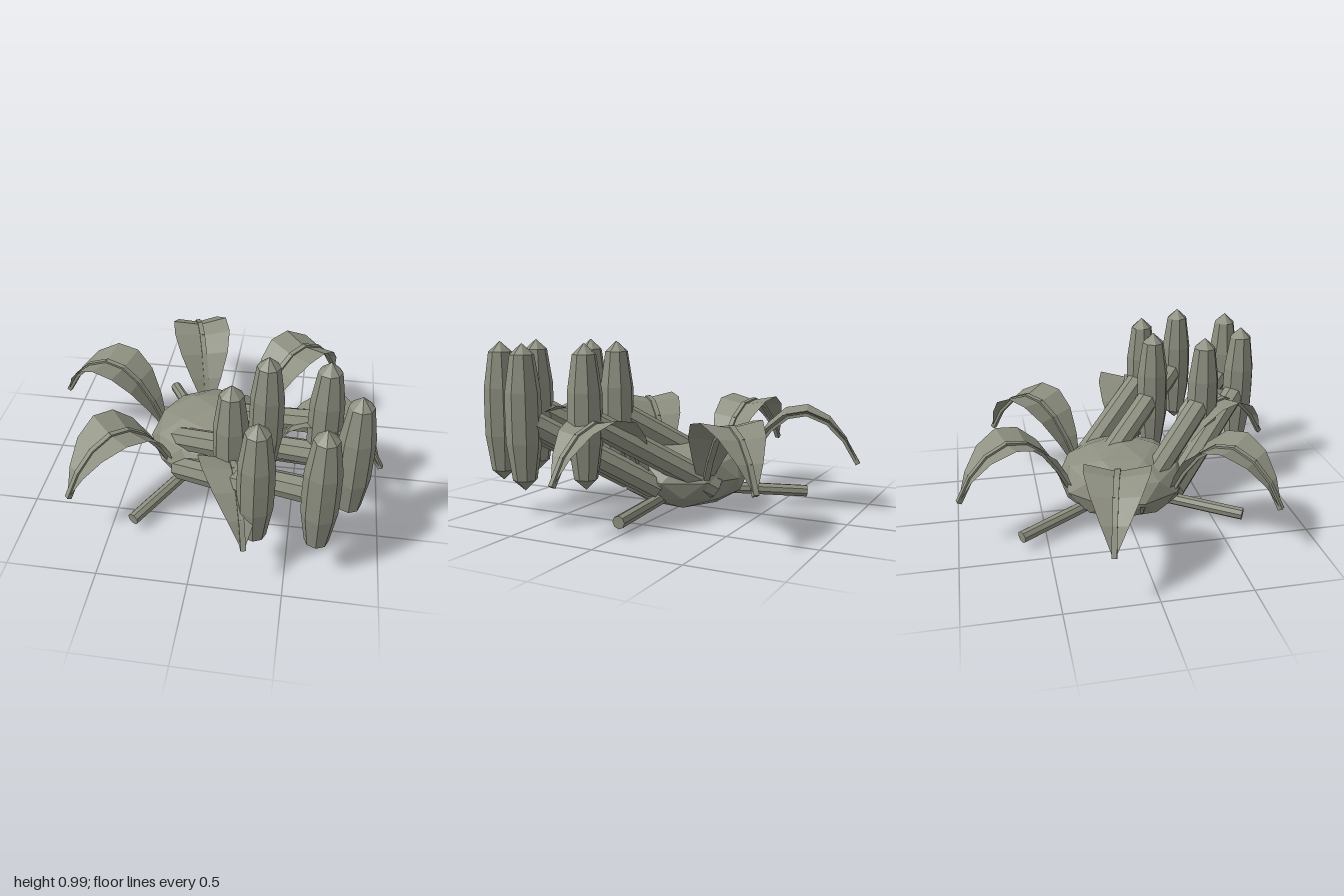
import * as THREE from 'three';

const V = (x, y, z) => new THREE.Vector3(x, y, z);
const UP = V(0, 1, 0);

export function createModel() {
  const model = new THREE.Group();
  const stone = new THREE.MeshStandardMaterial({ color: 0x8d8f80, flatShading: true, side: THREE.DoubleSide });
  stone.name = 'mossyGrey';

  const add = (parent, name, geometry) => {
    const mesh = new THREE.Mesh(geometry, stone);
    mesh.name = name;
    parent.add(mesh);
    return mesh;
  };

  // Straight eight-sided rod between two points
  const rod = (parent, name, a, b, radius) => {
    const dir = b.clone().sub(a);
    const mesh = add(parent, name, new THREE.CylinderGeometry(radius, radius, dir.length(), 8));
    mesh.position.copy(a).add(b).multiplyScalar(0.5);
    mesh.quaternion.setFromUnitVectors(UP, dir.normalize());
  };

  // Flattened faceted bulb, one vertex pointing up
  const bulb = new THREE.IcosahedronGeometry(1, 1);
  bulb.rotateZ(-Math.atan(2 / (1 + Math.sqrt(5))));
  bulb.rotateY(-Math.PI / 18);
  bulb.scale(0.39, 0.21, 0.39);
  bulb.translate(0, 0.21, 0);
  add(model, 'bulb', bulb);

  // Three roots spread on the ground
  for (let i = 0; i < 3; i++) {
    const a = (i * Math.PI * 2) / 3;
    rod(model, 'root', V(0, 0.12, 0), V(0.747 * Math.cos(a), 0.073, 0.747 * Math.sin(a)), 0.036);
  }

  // Ring of six leaning stems, each with an upright pod
  const podProfile = [[0, 0.2], [0.065, 0.26], [0.095, 0.46], [0.097, 0.595], [0.095, 0.73], [0.065, 0.93], [0, 0.99]]
    .map(([r, y]) => new THREE.Vector2(r, y));
  const podGeometry = new THREE.LatheGeometry(podProfile, 8);
  for (let i = 0; i < 6; i++) {
    const a = (i * Math.PI) / 3;
    const x = 0.325 * Math.cos(a), z = 0.325 * Math.sin(a);
    rod(model, 'stem', V(x, 0.17, z), V(x + 0.49, 0.59, z + 0.54), 0.07);
    add(model, 'pod', podGeometry).position.set(x + 0.49, 0, z + 0.54);
  }

  // Leaf stations: distance out, height, half width
  const stations = [
    [0.35, 0.2, 0.035], [0.42, 0.34, 0.095], [0.51, 0.47, 0.15], [0.61, 0.55, 0.178],
    [0.72, 0.57, 0.172], [0.84, 0.52, 0.13], [0.94, 0.42, 0.07], [1.015, 0.29, 0.008],
  ];
  const centre = stations.map(([r, y]) => V(r, y, 0));

  // Shallow V-folded blade lofted along the arc
  const positions = [], index = [];
  stations.forEach(([r, y, w], i) => {
    const t = centre[Math.min(i + 1, 7)].clone().sub(centre[Math.max(i - 1, 0)]).normalize();
    const fold = w * 0.2;
    const ex = r - t.y * fold, ey = y + t.x * fold;
    positions.push(ex, ey, -w, r, y, 0, ex, ey, w);
    if (i === 0) return;
    for (let k = 0; k < 2; k++) {
      const p = (i - 1) * 3 + k, q = i * 3 + k;
      index.push(p, p + 1, q, q, p + 1, q + 1);
    }
  });
  const blade = new THREE.BufferGeometry();
  blade.setAttribute('position', new THREE.Float32BufferAttribute(positions, 3));
  blade.setIndex(index);
  blade.computeVertexNormals();

  for (let i = 0; i < 6; i++) {
    const leaf = new THREE.Group();
    leaf.name = 'leaf';
    leaf.rotation.y = -THREE.MathUtils.degToRad(13.5 + 60 * i);
    add(leaf, 'leafBlade', blade);
    // Midrib made of short straight bars
    for (let k = 0; k < 7; k++) {
      const d = centre[k + 1].clone().sub(centre[k]);
      const rib = add(leaf, 'midrib', new THREE.BoxGeometry(d.length() + 0.012, 0.028, 0.034 - k * 0.001));
      rib.position.copy(centre[k]).add(centre[k + 1]).multiplyScalar(0.5);
      rib.rotation.z = Math.atan2(d.y, d.x);
    }
    model.add(leaf);
  }
  return model;
}
